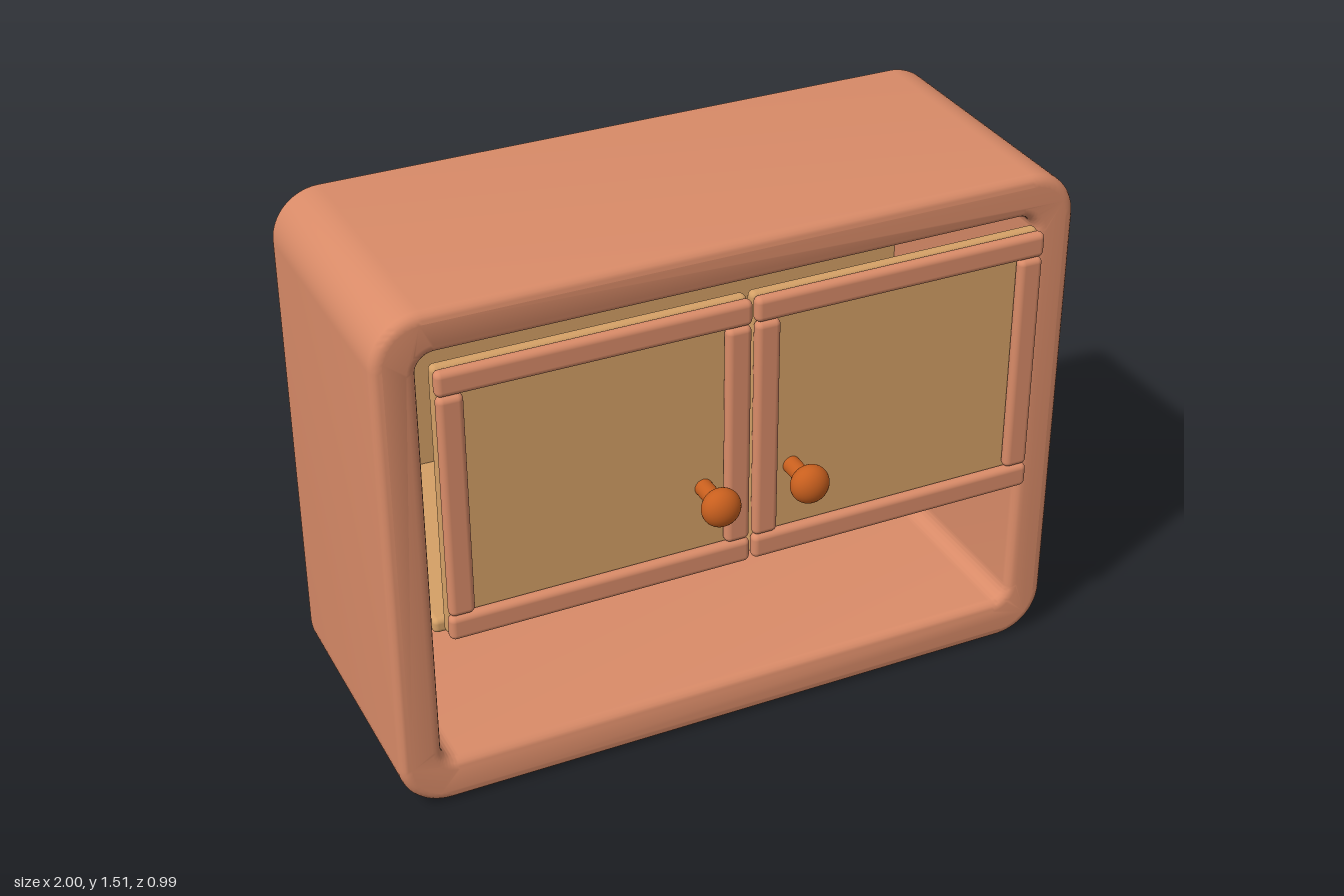
import * as THREE from 'three';
import { toCreasedNormals } from 'three/addons/utils/BufferGeometryUtils.js';
import { RoundedBoxGeometry } from 'three/addons/geometries/RoundedBoxGeometry.js';

const material = (name, color) => {
  const m = new THREE.MeshStandardMaterial({ color });
  m.name = name;
  return m;
};

// Traces a rounded rectangle on a Shape or Path
function roundedRect(path, x0, y0, x1, y1, r) {
  path.moveTo(x0 + r, y0);
  path.absarc(x1 - r, y0 + r, r, -Math.PI / 2, 0);
  path.absarc(x1 - r, y1 - r, r, 0, Math.PI / 2);
  path.absarc(x0 + r, y1 - r, r, Math.PI / 2, Math.PI);
  path.absarc(x0 + r, y0 + r, r, Math.PI, Math.PI * 1.5);
  path.closePath();
  return path;
}

function addMesh(parent, name, geometry, mat) {
  const mesh = new THREE.Mesh(geometry, mat);
  mesh.name = name;
  parent.add(mesh);
  return mesh;
}

// Soft-edged box given by its limits
function addBox(parent, name, mat, [x0, x1], [y0, y1], [z0, z1], r) {
  const geometry = new RoundedBoxGeometry(x1 - x0, y1 - y0, z1 - z0, 4, r);
  const mesh = addMesh(parent, name, geometry, mat);
  mesh.position.set((x0 + x1) / 2, (y0 + y1) / 2, (z0 + z1) / 2);
  return mesh;
}

export function createModel() {
  const wood = material('reddish wood', 0xd98b68);
  const panel = material('tan wood', 0xd4a066);
  const knobWood = material('orange wood', 0xc85f1e);

  const model = new THREE.Group();
  model.name = 'cabinet';

  // Hollow case with rounded corners and softened rims
  const outline = roundedRect(new THREE.Shape(), -1, 0, 1, 1.51, 0.14);
  outline.holes.push(roundedRect(new THREE.Path(), -0.88, 0.13, 0.88, 1.39, 0.05));
  const bevel = 0.03;
  const caseGeometry = new THREE.ExtrudeGeometry(outline, {
    depth: 0.8 - 2 * bevel, curveSegments: 10,
    bevelThickness: bevel, bevelSize: bevel, bevelOffset: -bevel, bevelSegments: 5,
  });
  caseGeometry.translate(0, 0, -0.495 + bevel);
  addMesh(model, 'case', toCreasedNormals(caseGeometry, 0.7), wood);

  // Back panel and shelf
  addBox(model, 'backPanel', panel, [-0.89, 0.89], [0.12, 1.4], [-0.475, -0.435], 0.005);
  addBox(model, 'shelf', panel, [-0.88, 0.88], [0.555, 0.6], [-0.44, 0.295], 0.015);

  // Mirrored pair of doors
  for (const side of [1, -1]) {
    const door = new THREE.Group();
    door.name = side > 0 ? 'leftDoor' : 'rightDoor';
    const span = (a, b) => (side > 0 ? [a, b] : [-b, -a]);
    const front = [0.344, 0.38];
    addBox(door, 'doorPanel', panel, span(0.005, 0.86), [0.58, 1.38], [0.31, 0.346], 0.016);
    addBox(door, 'topRail', wood, span(0.004, 0.862), [1.308, 1.38], front, 0.017);
    addBox(door, 'bottomRail', wood, span(0.004, 0.862), [0.582, 0.655], front, 0.017);
    addBox(door, 'innerStile', wood, span(0.006, 0.077), [0.655, 1.308], front, 0.017);
    addBox(door, 'outerStile', wood, span(0.789, 0.86), [0.655, 1.308], front, 0.017);

    // Knob: short stem and flattened ball
    const stem = addMesh(door, 'knobStem', new THREE.CylinderGeometry(0.025, 0.025, 0.09, 24), knobWood);
    stem.rotation.x = Math.PI / 2;
    stem.position.set(side * 0.13, 0.835, 0.385);
    const knob = addMesh(door, 'knob', new THREE.SphereGeometry(0.055, 32, 20), knobWood);
    knob.scale.z = 0.78;
    knob.position.set(side * 0.13, 0.835, 0.452);
    model.add(door);
  }

  return model;
}
